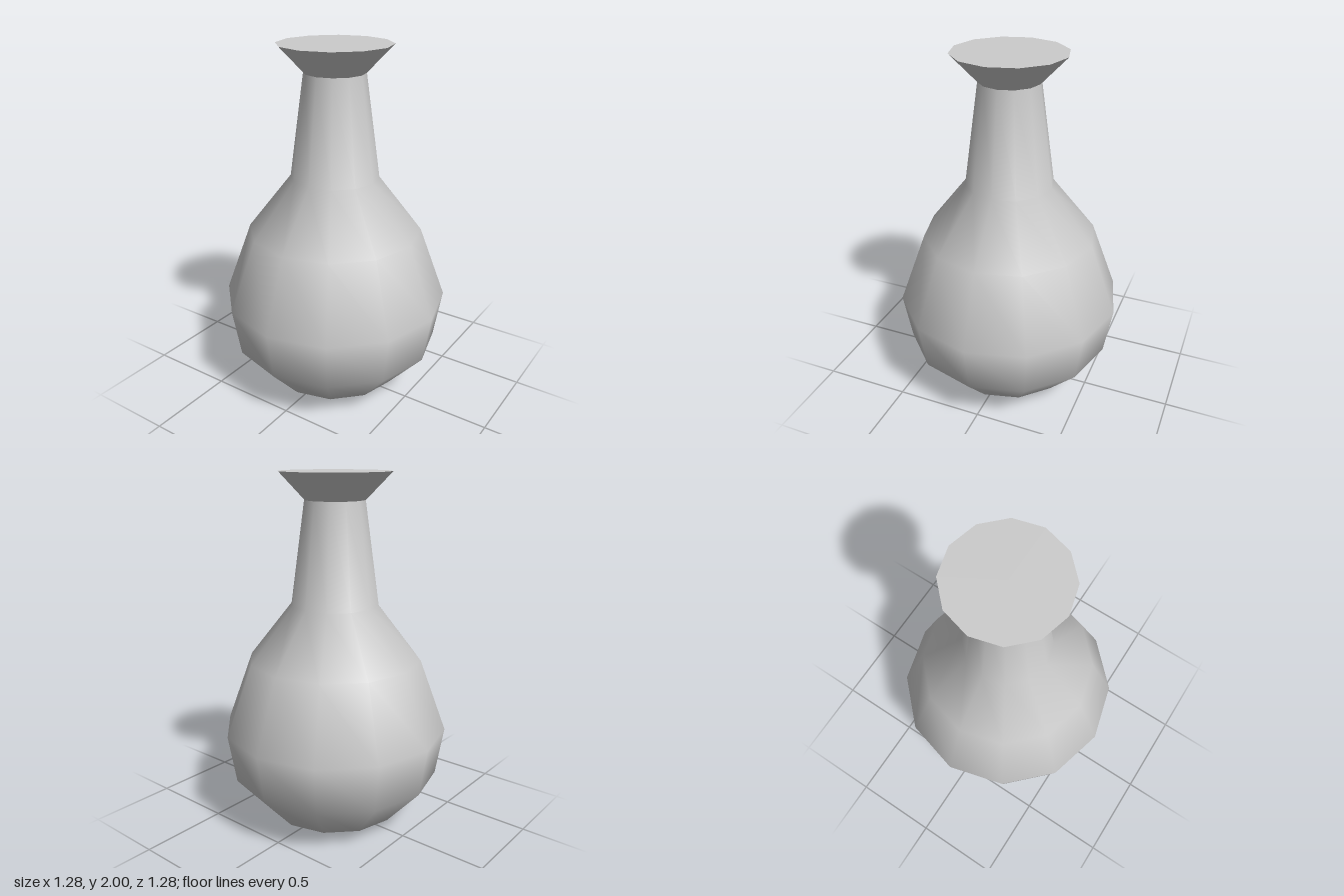
import * as THREE from 'three';

const SIDES = 12;

export function createModel() {
  const group = new THREE.Group();
  group.name = 'flask';
  const material = new THREE.MeshStandardMaterial({ color: 0xcccccc });

  const add = (name, geometry) => {
    const mesh = new THREE.Mesh(geometry, material);
    mesh.name = name;
    group.add(mesh);
    return mesh;
  };
  // Profiles run from bottom to top as [radius, height]
  const lathe = (profile) =>
    new THREE.LatheGeometry(profile.map(([r, y]) => new THREE.Vector2(r, y)), SIDES);

  // Round belly and tapering neck, smooth shaded
  add('body', lathe([
    [0, 0], [0.205, 0], [0.39, 0.06], [0.595, 0.29], [0.64, 0.565],
    [0.49, 0.97], [0.247, 1.28], [0.168, 1.85],
  ]));

  // Flared lip with a crisp edge against the neck
  add('lip', lathe([[0.168, 1.85], [0.312, 2]]));

  // Flat disc closing the mouth
  const top = add('mouthCap', new THREE.CircleGeometry(0.312, SIDES).rotateX(-Math.PI / 2));
  top.position.y = 2;

  return group;
}
